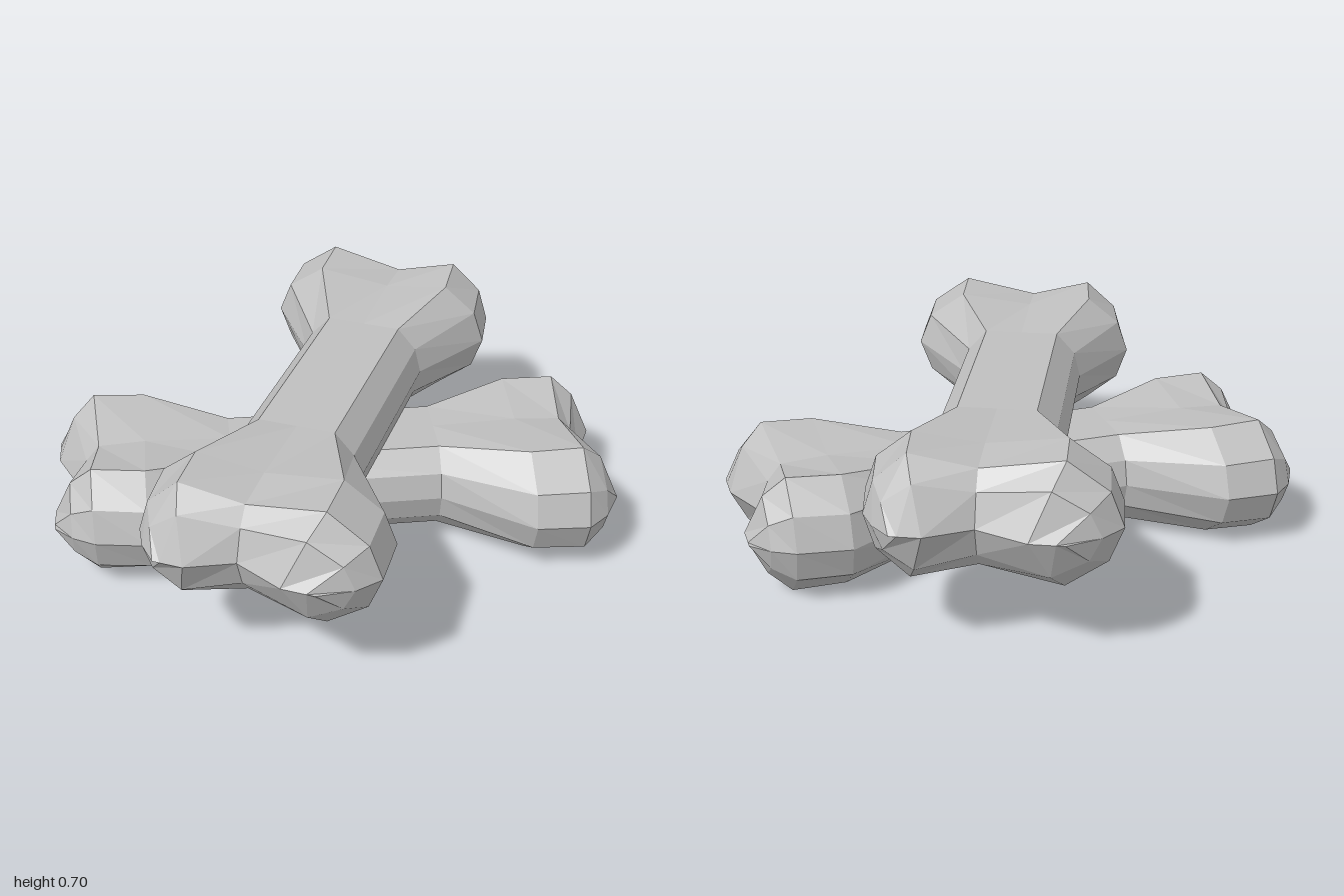
import * as THREE from 'three';

// Cross-section in quarter steps: [width fraction, height fraction], side to top
const QUARTER = [[1, 0], [0.9, 0.55], [0.6, 1], [0, 1]];
const SECTION = [
  ...QUARTER,
  ...[2, 1, 0].map(i => [-QUARTER[i][0], QUARTER[i][1]]),
  ...[1, 2, 3].map(i => [-QUARTER[i][0], -QUARTER[i][1]]),
  ...[2, 1].map(i => [QUARTER[i][0], -QUARTER[i][1]]),
];

// Half a bone: distance along it, outer and inner half width,
// half height, half height of the groove between knobs, groove depth at the end
const RINGS = [
  { u: 0.38, outer: 0.23, inner: 0.23, h: 0.17, groove: 0.17, dip: 0 },
  { u: 0.69, outer: 0.455, inner: 0.4, h: 0.212, groove: 0.18, dip: 0 },
  { u: 0.88, outer: 0.465, inner: 0.37, h: 0.22, groove: 0.17, dip: 0.02 },
  { u: 0.96, outer: 0.4, inner: 0.325, h: 0.15, groove: 0.11, dip: 0.05 },
  { u: 1.025, outer: 0.29, inner: 0.26, h: 0, groove: 0, dip: 0.075 },
];

// side = 1 or -1 chooses which diagonal has the larger knobs
function boneGeometry(side) {
  const ringPoints = (r, end) => SECTION.map(([w, h]) => {
    const isOuter = w * end * side < 0;
    return new THREE.Vector3(
      end * (r.u - (w === 0 ? r.dip : 0)),
      h * (w === 0 ? r.groove : r.h),
      w * (isOuter ? r.outer : r.inner));
  });
  const loops = [
    ...[...RINGS].reverse().map(r => ringPoints(r, -1)),
    ...RINGS.map(r => ringPoints(r, 1)),
  ];
  const positions = [];
  const addFace = (a, b, c) => {
    if (new THREE.Triangle(a, b, c).getArea() < 1e-6) return;
    for (const p of [a, b, c]) positions.push(p.x, p.y, p.z);
  };
  const n = SECTION.length;
  for (let i = 0; i < loops.length - 1; i++) {
    for (let j = 0; j < n; j++) {
      const k = (j + 1) % n;
      addFace(loops[i][j], loops[i + 1][j], loops[i][k]);
      addFace(loops[i + 1][j], loops[i + 1][k], loops[i][k]);
    }
  }
  const geometry = new THREE.BufferGeometry();
  geometry.setAttribute('position', new THREE.Float32BufferAttribute(positions, 3));
  geometry.computeVertexNormals();
  return geometry;
}

export function createModel() {
  const model = new THREE.Group();
  model.name = 'crossedBones';
  const boneGrey = new THREE.MeshStandardMaterial({ color: 0xbfbfbf, flatShading: true });
  boneGrey.name = 'boneGrey';

  // Two bones crossed, one resting on the other
  for (const [name, side, y] of [['upperBone', 1, 0.48], ['lowerBone', -1, 0.22]]) {
    const bone = new THREE.Mesh(boneGeometry(side), boneGrey);
    bone.name = name;
    bone.position.y = y;
    bone.rotation.y = side * 0.568;
    model.add(bone);
  }
  return model;
}
